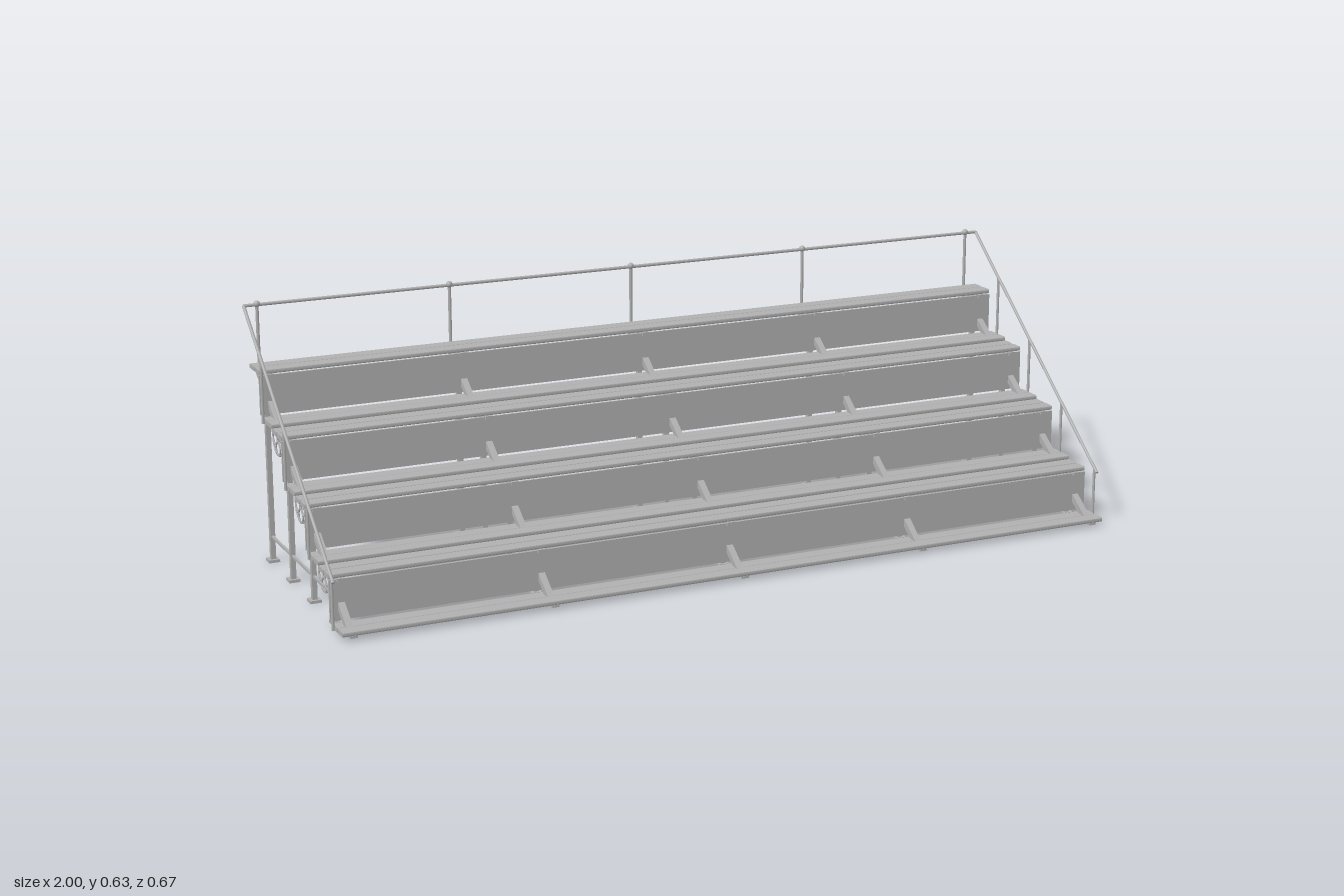
import * as THREE from 'three';

const RISE = 0.118, RUN = 0.161;
const FRAME_X = [-0.963, -0.481, 0, 0.481, 0.963];
const HALF = 0.99, RAIL_X = 0.995;

export function createModel() {
  const model = new THREE.Group();
  model.name = 'bleachers';
  const metal = new THREE.MeshStandardMaterial({ color: 0xb0b0b0 });
  metal.name = 'grey metal';

  const add = (parent, name, geometry, x = 0, y = 0, z = 0) => {
    const mesh = new THREE.Mesh(geometry, metal);
    mesh.name = name;
    mesh.position.set(x, y, z);
    parent.add(mesh);
    return mesh;
  };
  // box given by its y and z limits
  const block = (parent, name, x, width, y0, y1, z0, z1) =>
    add(parent, name, new THREE.BoxGeometry(width, y1 - y0, Math.abs(z1 - z0)), x, (y0 + y1) / 2, (z0 + z1) / 2);
  // round tube between two points
  const pipe = (parent, name, a, b, radius) => {
    const from = new THREE.Vector3(...a), to = new THREE.Vector3(...b);
    const dir = to.clone().sub(from);
    const mesh = add(parent, name, new THREE.CylinderGeometry(radius, radius, dir.length(), 10));
    mesh.position.copy(from).add(to).multiplyScalar(0.5);
    mesh.quaternion.setFromUnitVectors(new THREE.Vector3(0, 1, 0), dir.normalize());
  };

  // plank section with rounded corners, extruded along x
  const w = 0.0178, h = 0.0056, r = 0.004;
  const section = new THREE.Shape();
  section.moveTo(-w + r, -h);
  section.lineTo(w - r, -h);
  section.quadraticCurveTo(w, -h, w, -h + r);
  section.lineTo(w, h - r);
  section.quadraticCurveTo(w, h, w - r, h);
  section.lineTo(-w + r, h);
  section.quadraticCurveTo(-w, h, -w, h - r);
  section.lineTo(-w, -h + r);
  section.quadraticCurveTo(-w, -h, -w + r, -h);
  const plank = new THREE.ExtrudeGeometry(section, { depth: 2 * HALF, bevelEnabled: false, curveSegments: 3 });
  plank.rotateY(-Math.PI / 2).translate(HALF, 0, 0);

  // four tiers, each with foot planks, seat planks and a riser board
  for (let i = 0; i < 4; i++) {
    const tier = new THREE.Group();
    tier.name = 'tier' + (i + 1);
    model.add(tier);
    const dy = i * RISE, dz = -i * RUN;
    for (const z of [0.3165, 0.279]) add(tier, 'footPlank', plank, 0, 0.0165 + dy, z + dz);
    for (const z of [0.2295, 0.19]) add(tier, 'seatPlank', plank, 0, 0.1255 + dy, z + dz);
    block(tier, 'riserBoard', 0, 2 * HALF, 0.022 + dy, 0.118 + dy, 0.243 + dz, 0.249 + dz);
  }

  // five sloping support frames
  const start = new THREE.Vector2(0.311, 0.0095), end = new THREE.Vector2(-0.327, 0.466);
  const slope = end.clone().sub(start);
  for (const x of FRAME_X) {
    const frame = new THREE.Group();
    frame.name = 'supportFrame';
    model.add(frame);
    const stringer = add(frame, 'stringer', new THREE.BoxGeometry(0.016, 0.0155, slope.length()),
      x, (start.y + end.y) / 2, (start.x + end.x) / 2);
    stringer.rotation.x = Math.atan2(slope.y, -slope.x);
    for (let i = 0; i < 4; i++) {
      const dy = i * RISE, dz = -i * RUN;
      const back = i === 3 ? -0.322 : 0.17 + dz;
      block(frame, 'footBracket', x, 0.018, 0.006 + dy, 0.0115 + dy, 0.262 + dz, 0.334 + dz);
      block(frame, 'seatBracket', x, 0.018, 0.112 + dy, 0.1205 + dy, back, 0.254 + dz);
      block(frame, 'post', x, 0.012, 0.006, 0.114 + dy, 0.203 + dz, 0.215 + dz);
      block(frame, 'footPad', x, 0.027, 0, 0.007, 0.196 + dz, 0.222 + dz);
    }
    block(frame, 'groundBrace', x, 0.006, 0.06, 0.066, -0.273, 0.209);
  }

  // ring ornaments at both ends
  const ring = (parent, name, radius, tube, x, y, z) => {
    const geometry = new THREE.TorusGeometry(radius, tube, 6, radius > 0.03 ? 32 : 20);
    add(parent, name, geometry.rotateY(Math.PI / 2), x, y, z);
  };
  for (const side of [-1, 1]) {
    for (let i = 0; i < 3; i++) {
      const ornament = new THREE.Group();
      ornament.name = 'ringOrnament';
      ornament.position.set(side * 0.963, 0.088 + i * RISE, 0.1286 - i * RUN);
      model.add(ornament);
      ring(ornament, 'outerRing', 0.0385, 0.002, 0, 0, 0);
      ring(ornament, 'centreRing', 0.0045, 0.0015, 0, 0, 0);
      for (let k = 0; k < 4; k++) {
        const a = k * Math.PI / 2;
        ring(ornament, 'innerRing', 0.0162, 0.002, 0, 0.0215 * Math.sin(a), 0.0215 * Math.cos(a));
      }
    }
  }

  // sloping handrails at both ends
  const railY = z => 0.127 + (0.295 - z) / 0.617 * 0.495;
  for (const side of [-1, 1]) {
    const rail = new THREE.Group();
    rail.name = 'sideHandrail';
    model.add(rail);
    const x = side * RAIL_X;
    pipe(rail, 'handrail', [x, railY(0.295), 0.295], [x, railY(-0.322), -0.322], 0.004);
    [0.283, 0.122, -0.038, -0.199].forEach((z, i) =>
      pipe(rail, 'railPost', [x, 0.012 + i * RISE, z], [x, railY(z), z], 0.0035));
  }

  // level guard rail along the back
  const guard = new THREE.Group();
  guard.name = 'backGuardRail';
  model.add(guard);
  pipe(guard, 'topRail', [-RAIL_X, 0.622, -0.322], [RAIL_X, 0.622, -0.322], 0.004);
  for (const x of FRAME_X) {
    pipe(guard, 'guardPost', [x, 0.465, -0.322], [x, 0.622, -0.322], 0.004);
    add(guard, 'postKnob', new THREE.SphereGeometry(0.008, 14, 10), x, 0.624, -0.322);
  }
  return model;
}
